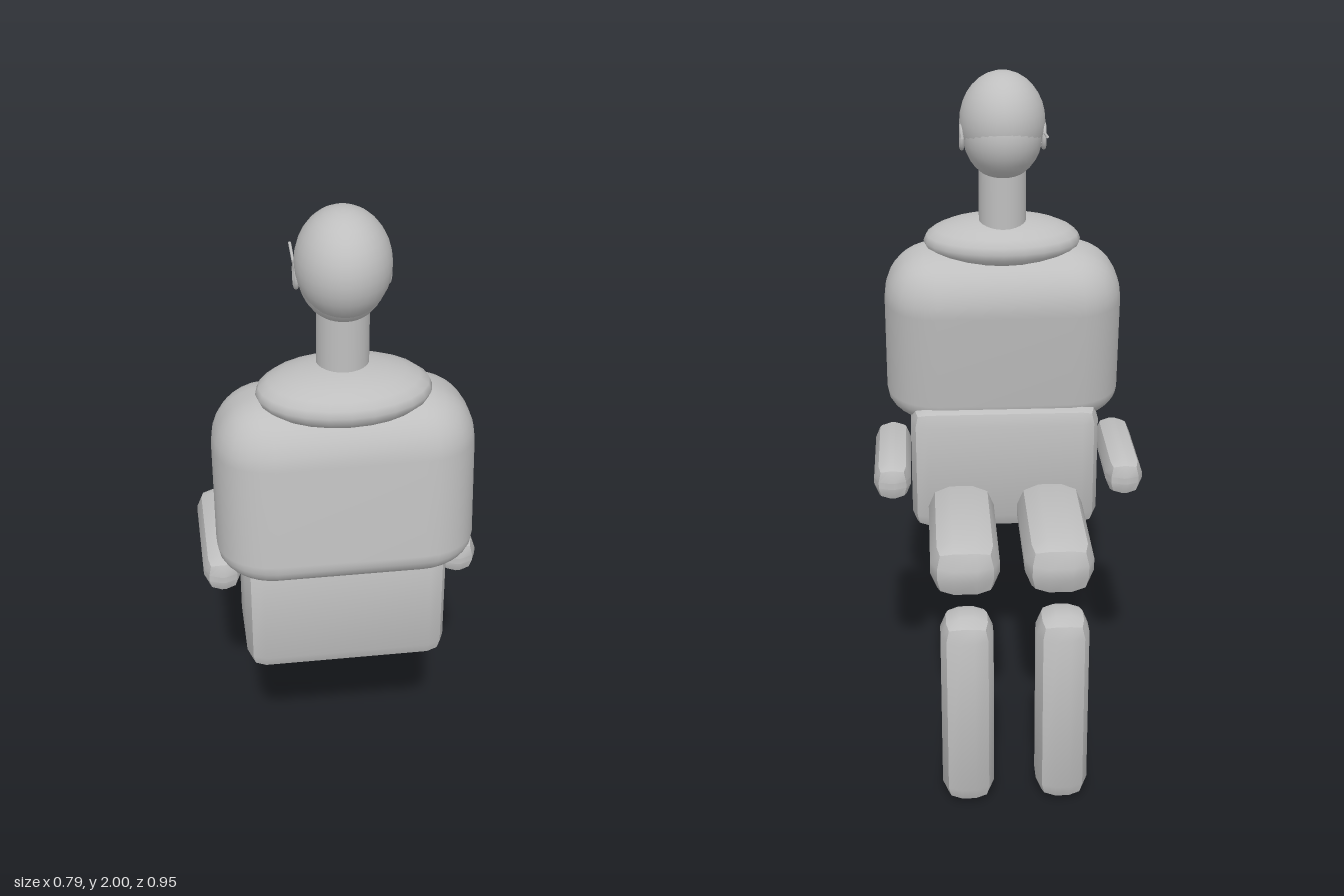
import * as THREE from 'three';
import { RoundedBoxGeometry } from 'three/addons/geometries/RoundedBoxGeometry.js';
import { mergeVertices, toCreasedNormals } from 'three/addons/utils/BufferGeometryUtils.js';

const grey = new THREE.MeshStandardMaterial({ color: 0xbfbfbf });
grey.name = 'plain grey';

// Seated figure looking towards -z.
export function createModel() {
  const model = new THREE.Group();
  model.name = 'seatedFigure';

  const add = (name, geometry, x, y, z) => {
    const mesh = new THREE.Mesh(geometry, grey);
    mesh.name = name;
    mesh.position.set(x, y, z);
    model.add(mesh);
    return mesh;
  };
  // Box with one-step bevels, each side shaded as one soft face
  const block = (w, h, d, r) => toCreasedNormals(new RoundedBoxGeometry(w, h, d, 1, r), 0.6);
  const ellipsoid = (a, b, c, n = 32) => new THREE.SphereGeometry(1, n, n / 2).scale(a, b, c);

  // Chest: soft box, tighter rounding along the bottom, leaning forward
  let chestShape = new RoundedBoxGeometry(0.71, 0.6, 0.36, 4, 0.155);
  const p = chestShape.attributes.position;
  for (let i = 0; i < p.count; i++) {
    const below = -0.15 - p.getY(i);
    if (below > 0) p.setY(i, -0.15 - below * 0.6);
  }
  chestShape.deleteAttribute('normal');
  chestShape.deleteAttribute('uv');
  chestShape = mergeVertices(chestShape, 1e-5);
  chestShape.computeVertexNormals();
  add('chest', chestShape, 0, 1.185, 0.275).rotation.x = -0.12;

  add('pelvis', block(0.57, 0.4, 0.3, 0.05), 0, 0.818, 0.238).rotation.x = -0.025;

  // Collar and neck
  add('collar', ellipsoid(0.235, 0.075, 0.16, 24), 0, 1.495, 0.278).rotation.x = -0.04;
  add('neck', new THREE.CylinderGeometry(0.07, 0.07, 0.22, 24), 0, 1.64, 0.249);

  // Head: skull over a slightly smaller, forward-set face
  add('skull', ellipsoid(0.125, 0.145, 0.145), 0, 1.855, 0.251);
  add('face', ellipsoid(0.116, 0.13, 0.132), 0, 1.82, 0.237);

  for (const [side, s] of [['left', 1], ['right', -1]]) {
    // Ear ring and the thin rod running forward from it
    const ear = add(side + 'Ear', new THREE.TorusGeometry(0.023, 0.007, 8, 20), s * 0.119, 1.816, 0.23);
    ear.rotation.y = Math.PI / 2;
    ear.scale.y = 1.4;
    const rod = add(side + 'Rod', new THREE.CylinderGeometry(0.004, 0.004, 0.13, 8), s * 0.12, 1.832, 0.166);
    rod.rotation.x = -Math.PI / 2 + 0.12;

    // Limbs
    add(side + 'Forearm', block(0.108, 0.115, 0.4, 0.048), s * 0.34, 0.873, 0.07);
    add(side + 'Thigh', block(0.2, 0.168, 0.55, 0.066), s * 0.136, 0.685, -0.07);
    add(side + 'Shin', block(0.15, 0.597, 0.168, 0.055), s * 0.136, 0.2985, -0.39);
  }
  return model;
}
